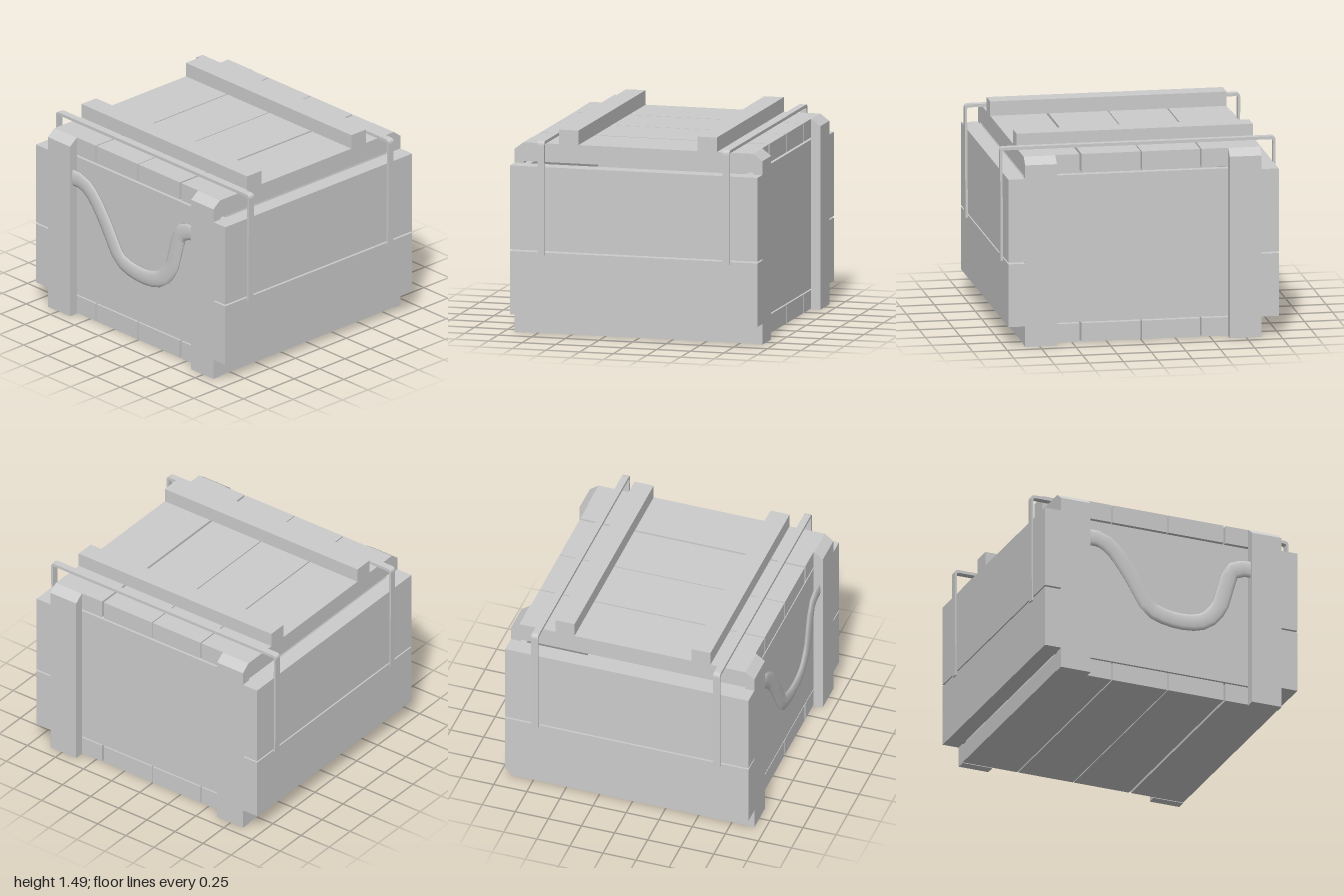
import * as THREE from 'three';

export function createModel() {
  const model = new THREE.Group();
  const material = new THREE.MeshStandardMaterial({ color: 0xcccccc, flatShading: true });
  const smooth = new THREE.MeshStandardMaterial({ color: 0xcccccc });

  const add = (name, geometry, mat = material) => {
    const mesh = new THREE.Mesh(geometry, mat);
    mesh.name = name;
    model.add(mesh);
    return mesh;
  };
  // Box given by its limits on each axis
  const box = (name, x0, x1, y0, y1, z0, z1) => {
    const g = new THREE.BoxGeometry(x1 - x0, y1 - y0, z1 - z0);
    g.translate((x0 + x1) / 2, (y0 + y1) / 2, (z0 + z1) / 2);
    return add(name, g);
  };

  // Lid and floor planks with narrow open gaps
  const planks = [[-0.86, -0.438], [-0.428, -0.004], [0.004, 0.432], [0.449, 0.855]];
  for (const [x0, x1] of planks) {
    box('lidPlank', x0, x1, 1.245, 1.38, -0.85, 0.85);
    box('floorPlank', x0, x1, 0.005, 0.14, -0.85, 0.85);
  }

  // Two boards on each side
  for (const [x0, x1] of [[-0.985, -0.86], [0.855, 0.977]]) {
    box('lowerSideBoard', x0, x1, 0.15, 0.61, -0.92, 0.92);
    box('upperSideBoard', x0, x1, 0.622, 1.23, -0.92, 0.92);
  }

  // Corner post profile in depth and height, bevelled at the outer top edge
  const profile = new THREE.Shape([
    [0.85, 0], [0.92, 0], [0.92, 1.33], [0.855, 1.38], [0.85, 1.38],
  ].map(([z, y]) => new THREE.Vector2(z, y)));

  for (const s of [1, -1]) {
    const ends = [0.8 * s, 0.85 * s].sort((a, b) => a - b);
    box(s > 0 ? 'frontPanel' : 'backPanel', -0.86, 0.855, 0.15, 1.23, ...ends);

    for (const x of [-0.745, 0.74]) {
      const g = new THREE.ExtrudeGeometry(profile, { depth: 0.23, bevelEnabled: false });
      g.translate(0, 0, -0.115);
      const post = add('cornerPost', g);
      post.rotation.y = -s * Math.PI / 2;
      post.position.x = x;
    }

    // Batten across the lid
    const z = s > 0 ? 0.517 : -0.51;
    box('lidBatten', -0.86, 0.855, 1.38, 1.485, z - 0.072, z + 0.072);
  }

  // Thin metal straps bent over the lid and down both sides
  const strap = new THREE.Shape();
  strap.moveTo(-0.995, 0.59);
  strap.lineTo(-1, 1.39);
  strap.quadraticCurveTo(-1, 1.42, -0.97, 1.42);
  strap.lineTo(0.97, 1.42);
  strap.quadraticCurveTo(1, 1.42, 1, 1.39);
  strap.lineTo(0.995, 0.59);
  strap.lineTo(0.977, 0.59);
  strap.lineTo(0.983, 1.385);
  strap.quadraticCurveTo(0.983, 1.398, 0.96, 1.398);
  strap.lineTo(-0.96, 1.398);
  strap.quadraticCurveTo(-0.983, 1.398, -0.983, 1.385);
  strap.lineTo(-0.977, 0.59);
  for (const z of [0.683, -0.692]) {
    const g = new THREE.ExtrudeGeometry(strap, { depth: 0.05, bevelEnabled: false, curveSegments: 4 });
    g.translate(0, 0, z - 0.025);
    add('metalStrap', g);
  }

  // Flattened rope handle hanging between the front posts
  const path = new THREE.CatmullRomCurve3([
    [-0.64, 1.08], [-0.58, 1.08], [-0.51, 1.065], [-0.41, 0.985], [-0.29, 0.82],
    [-0.155, 0.605], [-0.01, 0.552], [0.15, 0.547], [0.285, 0.59], [0.385, 0.71],
    [0.435, 0.88], [0.48, 1.01], [0.57, 1.05], [0.64, 1.053],
  ].map(([x, y]) => new THREE.Vector3(x, y, 0)), false, 'catmullrom', 0.3);
  const rope = add('ropeHandle', new THREE.TubeGeometry(path, 24, 0.064, 10), smooth);
  rope.scale.z = 0.27;
  rope.position.z = 0.886;

  return model;
}
